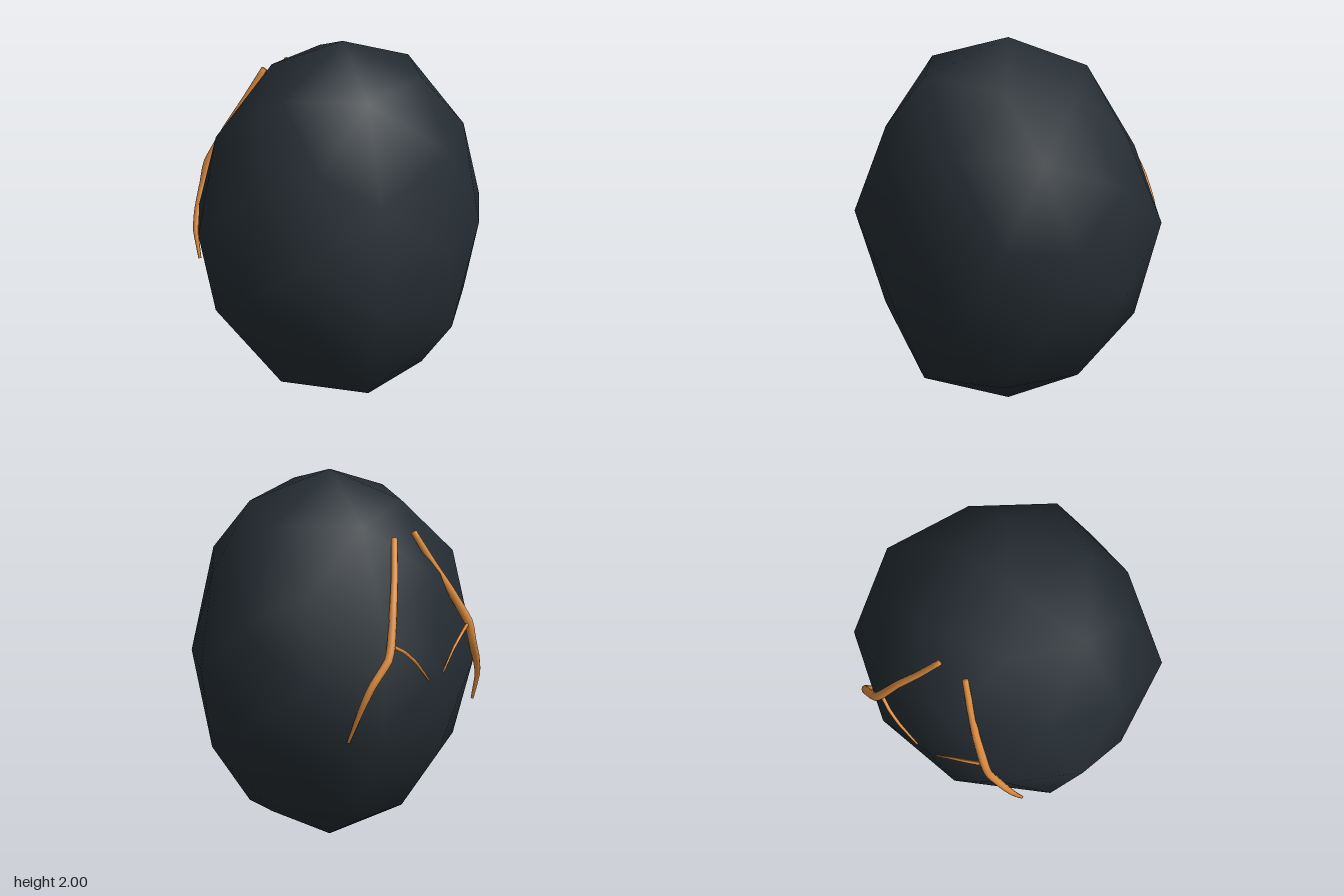
import * as THREE from 'three';
import { mergeVertices } from 'three/addons/utils/BufferGeometryUtils.js';

const shellMat = new THREE.MeshStandardMaterial({ color: 0x262e34 });
shellMat.name = 'charcoal';
const veinMat = new THREE.MeshStandardMaterial({ color: 0xdc8c41 });
veinMat.name = 'bronze';

// Uneven corners, measured from the middle of the shell.
// These repeat above and below the middle:
const pairedCorners = [
  [-0.02, 1, -0.02], [-0.51, 0.81, 0], [-0.76, 0.29, -0.02], [0.46, 0.78, 0], [0.76, 0.295, -0.03],
  [-0.26, 0.835, 0.4], [0.22, 0.82, 0.33], [0.51, 0.475, 0.36], [-0.57, 0.49, 0.33],
  [0.13, 0.5, 0.64], [-0.36, 0.31, 0.6],
  [-0.23, 0.835, -0.34], [-0.58, 0.5, -0.415], [-0.13, 0.48, -0.66], [0.34, 0.31, -0.655],
];
const singleCorners = [
  [-0.02, 0, 0.75], [0.69, 0, 0.3], [0.4, 0, 0.58], [-0.74, 0, 0.38],
  [-0.02, 0, -0.75], [0.69, 0, -0.43], [-0.76, 0, -0.37], [-0.46, 0, -0.655],
  [0.21, 0.79, -0.41], [0.21, -0.83, -0.37], [0.55, 0.47, -0.32], [0.58, -0.5, -0.335],
];

function shellGeometry() {
  let geo = new THREE.IcosahedronGeometry(1, 1);
  geo.deleteAttribute('uv');
  geo.deleteAttribute('normal');
  // Turn one five-fold axis to the front, then stretch into an egg
  geo.rotateX(Math.atan(2 / (1 + Math.sqrt(5))));
  geo.rotateZ(Math.PI / 2);
  geo.scale(0.8, 1, 0.75);
  geo = mergeVertices(geo, 1e-3);

  // Move the nearest corner of the regular shape to each uneven corner
  const pos = geo.attributes.position;
  const v = new THREE.Vector3();
  const mirrored = pairedCorners.map(([x, y, z]) => [x, -y, z]);
  for (const c of [...pairedCorners, ...mirrored, ...singleCorners]) {
    const target = new THREE.Vector3(...c);
    let best = 0, bestD = Infinity;
    for (let i = 0; i < pos.count; i++) {
      const d = v.fromBufferAttribute(pos, i).distanceTo(target);
      if (d < bestD) { bestD = d; best = i; }
    }
    pos.setXYZ(best, ...c);
  }
  geo.translate(0, 1, 0);
  geo.computeVertexNormals();
  return geo;
}

// Tube along points whose radius follows a list of evenly spaced values
function vein(name, points, radii) {
  const curve = new THREE.CatmullRomCurve3(
    points.map(p => new THREE.Vector3(...p)), false, 'catmullrom', 0.25);
  const segs = 32, sides = 8;
  const geo = new THREE.TubeGeometry(curve, segs, 1, sides, false);
  const pos = geo.attributes.position;
  const v = new THREE.Vector3();
  for (let i = 0; i <= segs; i++) {
    // The first and last rings shrink to a point and share a place with their neighbours: flat ends
    const t = THREE.MathUtils.clamp((i - 1) / (segs - 2), 0, 1);
    const s = t * (radii.length - 1);
    const k = Math.min(Math.floor(s), radii.length - 2);
    const r = i === 0 || i === segs ? 0 : THREE.MathUtils.lerp(radii[k], radii[k + 1], s - k);
    const from = curve.getPointAt(i / segs), to = curve.getPointAt(t);
    for (let j = 0; j <= sides; j++) {
      const n = i * (sides + 1) + j;
      v.fromBufferAttribute(pos, n).sub(from).multiplyScalar(r).add(to);
      pos.setXYZ(n, v.x, v.y, v.z);
    }
  }
  geo.computeVertexNormals();
  const mesh = new THREE.Mesh(geo, veinMat);
  mesh.name = name;
  return mesh;
}

export function createModel() {
  const model = new THREE.Group();
  model.name = 'veinedEgg';

  const shell = new THREE.Mesh(shellGeometry(), shellMat);
  shell.name = 'shell';
  model.add(shell);

  // Two long veins down the back
  const mainRadii = [0.017, 0.02, 0.024, 0.02, 0.008];
  model.add(vein('leftVein', [
    [0.07, 1.715, -0.52], [0.16, 1.54, -0.59], [0.25, 1.38, -0.65], [0.32, 1.21, -0.69],
    [0.36, 1.13, -0.7], [0.45, 1.0, -0.66], [0.48, 0.88, -0.615], [0.48, 0.68, -0.525],
  ], mainRadii));
  model.add(vein('rightVein', [
    [-0.1, 1.715, -0.52], [-0.18, 1.54, -0.585], [-0.26, 1.38, -0.645], [-0.35, 1.2, -0.695],
    [-0.38, 1.1, -0.695], [-0.46, 0.96, -0.665], [-0.5, 0.87, -0.64], [-0.52, 0.73, -0.59],
  ], mainRadii));

  // A thin branch from each, running inward
  const branchRadii = [0.011, 0.009, 0.005];
  model.add(vein('leftBranch', [
    [0.33, 1.21, -0.69], [0.25, 1.16, -0.725], [0.17, 1.09, -0.74], [0.055, 0.97, -0.74],
  ], branchRadii));
  model.add(vein('rightBranch', [
    [-0.35, 1.19, -0.69], [-0.25, 1.16, -0.725], [-0.16, 1.1, -0.74], [-0.07, 0.99, -0.74],
  ], branchRadii));

  return model;
}
